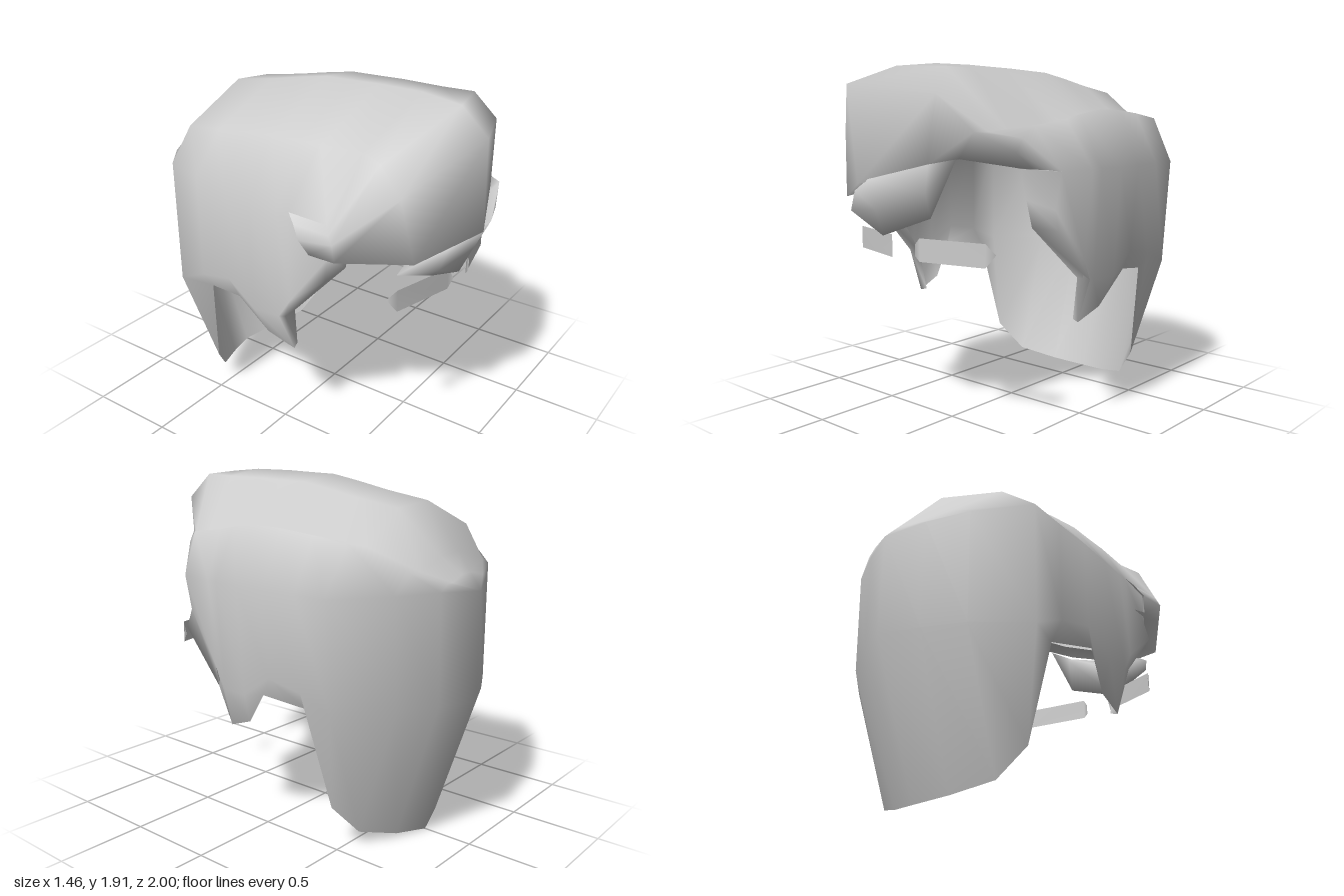
import * as THREE from 'three';
import { mergeGeometries, mergeVertices } from 'three/addons/utils/BufferGeometryUtils.js';

const material = new THREE.MeshStandardMaterial({ color: 0xcccccc, side: THREE.DoubleSide });

// Surface through rows of [x, y, z] points
function loft(rows, closed = false) {
  const n = rows[0].length, index = [];
  for (let i = 0; i < rows.length - 1; i++) {
    for (let j = 0; j < (closed ? n : n - 1); j++) {
      const a = i * n + j, b = i * n + (j + 1) % n;
      index.push(a, a + n, b, b, a + n, b + n);
    }
  }
  const g = new THREE.BufferGeometry();
  g.setAttribute('position', new THREE.Float32BufferAttribute(rows.flat(2), 3));
  g.setIndex(index);
  return g;
}

// Weld the pieces and shade them as one smooth surface
function smooth(...pieces) {
  const welded = mergeVertices(mergeGeometries(pieces), 1e-4);
  welded.computeVertexNormals();
  return welded;
}

function add(group, name, geometry) {
  const mesh = new THREE.Mesh(geometry, material);
  mesh.name = name;
  group.add(mesh);
}

// One arch of the cap, from the +x hem over the crest to the -x hem
function arch([k, zMid, zTop, yTop, yRidge, hemX, hemY, hemZ]) {
  const f = (yTop - 1.37) / 0.53;
  const yMid = Math.min(1.38, yTop), yLow = Math.max(0.8, hemY + 0.1);
  const z = t => THREE.MathUtils.lerp(zMid, zTop, t);
  return [
    [hemX, hemY, hemZ],
    [0.69 * k, yLow, zMid],
    [0.73 * k, yMid, zMid],
    [0.59 * k, yRidge, z(0.4)],                 // ridge beside the parting
    [0.46 * k, yRidge - 0.04 * f ** 3, z(0.6)], // parting groove
    [0.22 * k, yTop - 0.03 * f, z(0.9)],
    [-0.04 * k, yTop, zTop],
    [-0.5 * k, yTop - 0.2 * f, z(0.6)],
    [-0.7 * k, yMid + 0.2 * f * Math.max(0, -zTop), zMid],
    [-0.7 * k, yLow, zMid],
    [-hemX, hemY, hemZ],
  ];
}

export function createModel() {
  const group = new THREE.Group();
  group.name = 'hair';

  // Cap stations, front to back: width, zMid, zTop, yTop, yRidge, hem x, y, z
  const cap = [
    [0.93, 0.41, 0.55, 1.91, 1.6, 0.67, 1.09, 0.42],
    [0.97, 0.2, 0.3, 1.91, 1.63, 0.68, 0.81, 0.17],
    [0.98, 0.13, 0.15, 1.905, 1.65, 0.6, 0.57, 0.16],
    [1, -0.03, -0.03, 1.9, 1.675, 0.62, 0.63, 0],
    [0.99, -0.2, -0.2, 1.87, 1.67, 0.67, 0.82, -0.15],
    [0.97, -0.4, -0.4, 1.83, 1.65, 0.61, 0.78, -0.4],
    [0.95, -0.58, -0.65, 1.79, 1.62, 0.52, 0.24, -0.48],
    [0.6, -0.8, -0.85, 1.55, 1.48, 0.39, 0.08, -0.56],
    [0.3, -0.91, -0.93, 1.455, 1.42, 0.19, 0.025, -0.66],
    [0, -1, -1, 1.37, 1.37, 0, 0, -0.72],
  ].map(arch);

  // Swept fringe, from its lower edge back to the first arch
  const fringe = [
    [[0.46, 1.385, 0.46], [0.44, 1.39, 0.47], [0.3, 1.44, 0.73], [0.2, 1.41, 0.85],
      [-0.15, 1.31, 0.99], [-0.48, 1.21, 0.8], [-0.7, 1.22, 0.49], [-0.7, 1.22, 0.34]],
    [[0.53, 1.385, 0.445], [0.5, 1.47, 0.54], [0.36, 1.57, 0.69], [0.25, 1.75, 0.83],
      [-0.2, 1.8, 1], [-0.54, 1.55, 0.75], [-0.72, 1.32, 0.49], [-0.73, 1.3, 0.3]],
    [[0.6, 1.385, 0.425], [0.53, 1.54, 0.53], [0.4, 1.57, 0.63], [0.2, 1.885, 0.72],
      [-0.07, 1.89, 0.79], [-0.51, 1.69, 0.62], [-0.71, 1.36, 0.46], [-0.7, 1.36, 0.25]],
    [...cap[0].slice(2, 9), [-0.67, 1.4, 0.2]],
  ];
  // Underside, tucked in behind the lower edge
  fringe.unshift(fringe[0].map(([x, y, z]) => [0.88 * x, y + 0.03, z - 0.12]));

  // Inward-turned front edge of each side, down to the sideburn tip
  const rims = [1, -1].map(s => {
    const column = j => (s > 0 ? j : 10 - j);
    const outer = [
      cap[0][column(2)], cap[0][column(1)], cap[0][column(0)], cap[1][column(0)], cap[2][column(0)],
    ];
    const inner = [
      [0.46, 1.385, 0.46], [0.48, 1.23, 0.44], [0.5, 1.09, 0.42], [0.6, 0.81, 0.17], [0.56, 0.58, 0.15],
    ].map(([x, y, z]) => [s * x, y, z]);
    return loft(s > 0 ? [outer, inner] : [inner, outer]);
  });
  add(group, 'hairCap', smooth(loft(cap), loft(fringe), ...rims));

  // Loose lock hanging below the fringe: top, front, bottom, back of each section
  const lock = [
    Array(4).fill([0.3, 1.44, 0.75]),
    [[0.24, 1.42, 0.88], [0.22, 1.28, 0.88], [0.19, 1.15, 0.82], [0.15, 1.32, 0.74]],
    [[-0.07, 1.34, 0.99], [-0.1, 1.18, 0.92], [-0.12, 1.04, 0.86], [-0.1, 1.22, 0.76]],
    [[-0.3, 1.26, 0.89], [-0.36, 1.15, 0.87], [-0.31, 1.08, 0.8], [-0.32, 1.18, 0.7]],
    Array(4).fill([-0.47, 1.12, 0.7]),
  ];
  add(group, 'looseLock', smooth(loft(lock, true)));

  // Thin eyebrows, curving back at the outer ends: side, inner tip, inner and outer corner x
  for (const [s, tip, corner, outer] of [[1, 0.075, 0.085, 0.45], [-1, 0.095, 0.12, 0.47]]) {
    const pair = (x, z, h) => [[s * x, 0.98 + s * h, z], [s * x, 0.98 - s * h, z]];
    const rows = [
      pair(tip, 0.82, s > 0 ? 0.03 : 0),
      pair(corner, 0.8, 0.06),
      pair(outer, 0.71, 0.06),
      pair(outer + 0.025, 0.66, 0),
    ];
    add(group, s > 0 ? 'leftEyebrow' : 'rightEyebrow', smooth(loft(rows.reverse())));
  }
  return group;
}
